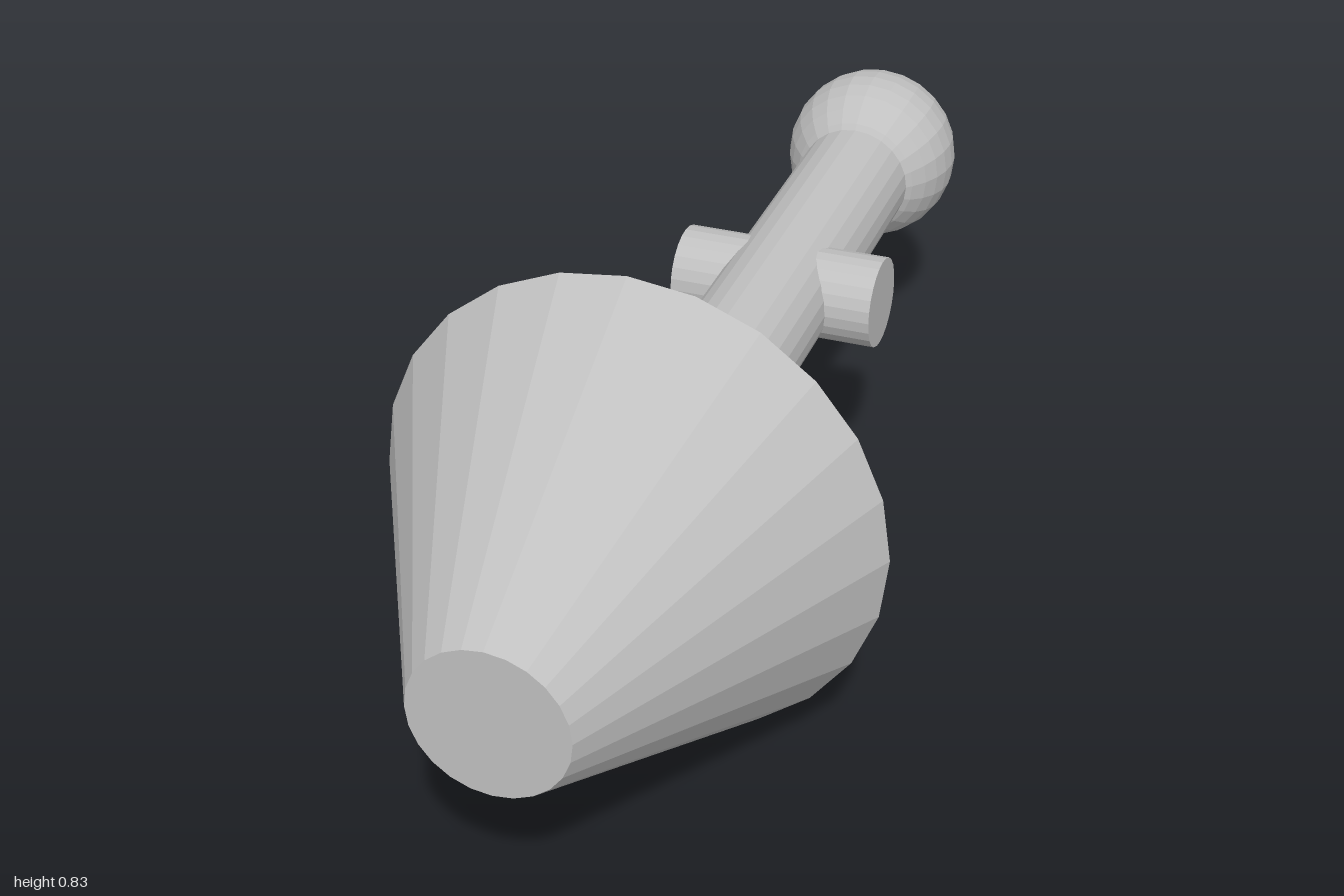
import * as THREE from 'three';

export function createModel() {
  const group = new THREE.Group();
  const grey = new THREE.MeshStandardMaterial({ color: 0xc0c0c0 });
  grey.name = 'plain grey';
  grey.flatShading = true;
  const axisY = 0.414;

  const add = (name, geometry, x, z) => {
    const mesh = new THREE.Mesh(geometry, grey);
    mesh.name = name;
    mesh.position.set(x, axisY, z);
    group.add(mesh);
  };

  // Truncated cone head, narrow end at the front
  add('head', new THREE.CylinderGeometry(0.126, 0.413, 0.55, 24).rotateX(Math.PI / 2), 0, 0.725);

  // Straight shaft, running from the head into the ball
  add('shaft', new THREE.CylinderGeometry(0.103, 0.103, 1.19, 24).rotateX(Math.PI / 2), 0, -0.135);

  // Ball on the back end, poles along the shaft
  add('ball', new THREE.SphereGeometry(0.16, 24, 16).rotateX(Math.PI / 2), 0, -0.84);

  // Short pegs on both sides of the shaft
  for (const side of [-1, 1]) {
    add(side > 0 ? 'leftPeg' : 'rightPeg',
      new THREE.CylinderGeometry(0.08, 0.08, 0.15, 24).rotateZ(Math.PI / 2), side * 0.107, -0.287);
  }
  return group;
}
